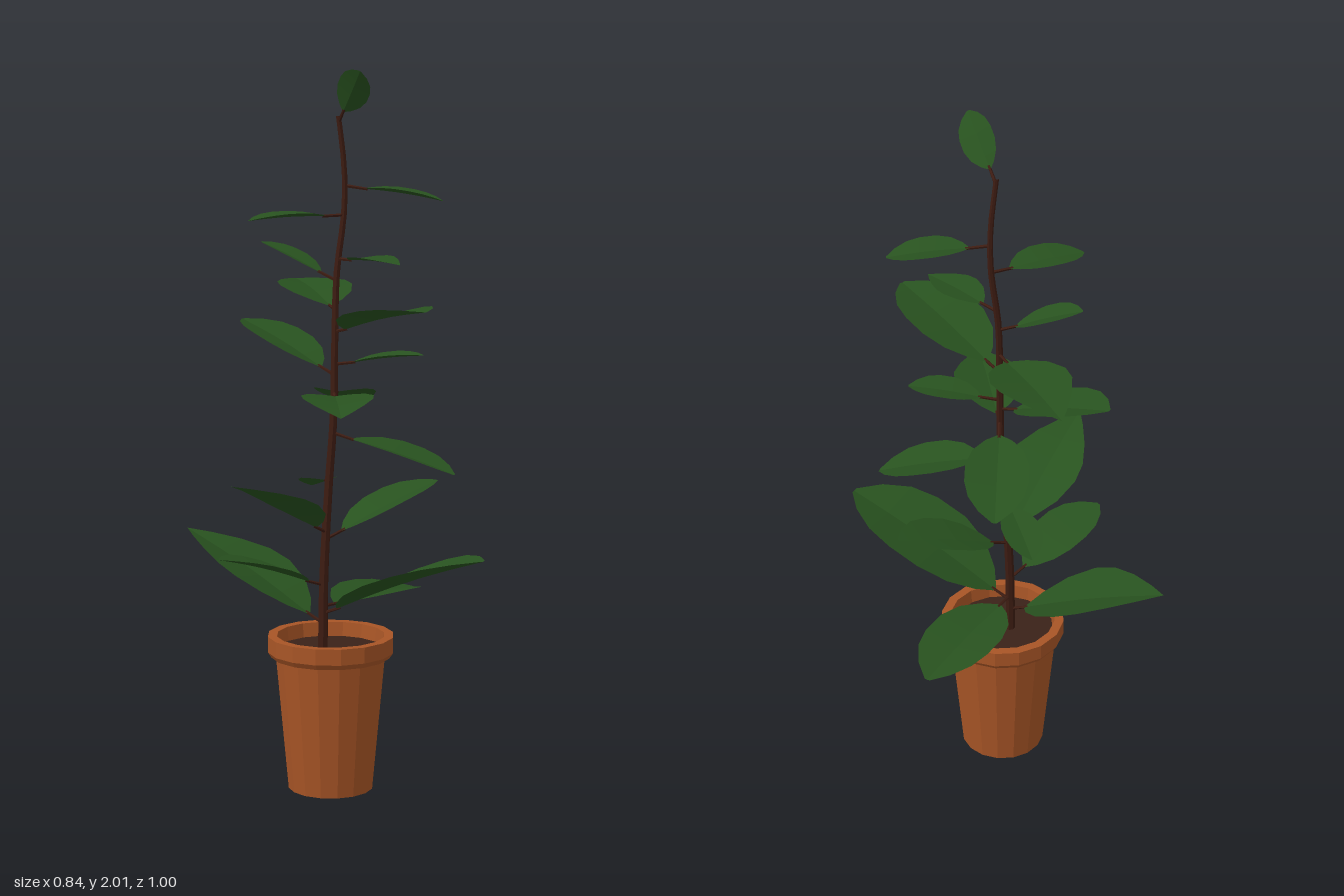
import * as THREE from 'three';

const V = (x, y, z) => new THREE.Vector3(x, y, z);
const mat = (color, side = THREE.FrontSide) =>
  new THREE.MeshStandardMaterial({ color, side, flatShading: true });

const clay = mat(0xa85526);
const soilMat = mat(0x3a2218);
const bark = mat(0x3d1c12);
const green = mat(0x28521f, THREE.DoubleSide);

// Gently leaning trunk line
const stemCurve = new THREE.CatmullRomCurve3([
  V(-0.01, 0.38, -0.02), V(-0.005, 0.6, -0.02), V(0.01, 0.85, -0.015), V(0.02, 1.05, -0.005),
  V(0.03, 1.25, -0.008), V(0.045, 1.45, -0.012), V(0.063, 1.62, 0), V(0.063, 1.74, 0), V(0.05, 1.88, -0.01),
]);

// Point on the trunk at a given height
function stemAt(y) {
  let lo = 0, hi = 1;
  for (let i = 0; i < 24; i++) {
    const mid = (lo + hi) / 2;
    if (stemCurve.getPoint(mid).y < y) lo = mid; else hi = mid;
  }
  return stemCurve.getPoint(lo);
}

// Tube whose radius shrinks from r0 to r1
function taperedTube(curve, segments, r0, r1, sides) {
  const geo = new THREE.TubeGeometry(curve, segments, 1, sides);
  const pos = geo.attributes.position;
  for (let i = 0; i < pos.count; i++) {
    const t = Math.floor(i / (sides + 1)) / segments;
    const c = curve.getPointAt(t);
    const p = V().fromBufferAttribute(pos, i).sub(c).multiplyScalar(r0 + (r1 - r0) * t).add(c);
    pos.setXYZ(i, p.x, p.y, p.z);
  }
  return geo;
}

// Half-width along the blade: [position, share of the widest half]
const POINTED = [[0, 0.06], [0.08, 0.42], [0.22, 0.8], [0.4, 1], [0.55, 0.95], [0.72, 0.68], [0.88, 0.32], [1, 0]];
const ROUNDED = [[0, 0.06], [0.08, 0.42], [0.22, 0.8], [0.4, 1], [0.6, 1], [0.76, 0.86], [0.9, 0.52], [1, 0.08]];

// Blade lying along +z, creased along the midrib with raised edges
function bladeGeometry(length, width, outline) {
  const pos = [], idx = [];
  outline.forEach(([t, w], i) => {
    const half = w * width / 2;
    const arch = Math.sin(Math.PI * t) * 0.02 * length;
    pos.push(-half, arch + half * 0.2, t * length, 0, arch, t * length, half, arch + half * 0.2, t * length);
    if (i === 0) return;
    const a = (i - 1) * 3, b = i * 3;
    for (const k of [0, 1]) idx.push(a + k, b + k, a + k + 1, a + k + 1, b + k, b + k + 1);
  });
  const geo = new THREE.BufferGeometry();
  geo.setAttribute('position', new THREE.Float32BufferAttribute(pos, 3));
  geo.setIndex(idx);
  geo.computeVertexNormals();
  return geo;
}

// Leaf with its stalk, from the trunk at height y to the tip
function makeLeaf(y, tip, outline, up = V(0, 1, 0)) {
  const base = stemAt(y);
  const dir = tip.clone().sub(base);
  const total = dir.length();
  dir.normalize();
  const stalk = Math.min(0.055, total * 0.2);
  const start = base.clone().addScaledVector(dir, stalk);

  const leaf = new THREE.Group();
  leaf.name = 'leaf';
  const petiole = new THREE.Mesh(
    taperedTube(new THREE.LineCurve3(base, start.clone().addScaledVector(dir, 0.01)), 1, 0.005, 0.004, 5), bark);
  petiole.name = 'leafStalk';

  const length = total - stalk;
  const blade = new THREE.Mesh(bladeGeometry(length, length * 0.55, outline), green);
  blade.name = 'leafBlade';
  const side = up.clone().cross(dir).normalize();
  const normal = dir.clone().cross(side);
  blade.quaternion.setFromRotationMatrix(new THREE.Matrix4().makeBasis(side, normal, dir));
  blade.position.copy(start);
  leaf.add(petiole, blade);
  return leaf;
}

// Height on the trunk, tip x, y, z, outline
const LEAVES = [
  [0.47, -0.02, 0.69, -0.5, POINTED],
  [0.5, 0, 0.71, 0.5, ROUNDED],
  [0.52, 0.42, 0.5, 0, ROUNDED],
  [0.58, -0.32, 0.69, -0.14, ROUNDED],
  [0.71, 0.31, 0.85, 0.15, ROUNDED],
  [0.73, -0.42, 0.92, -0.02, POINTED],
  [0.88, 0.17, 0.82, -0.19, ROUNDED],
  [1.01, 0.12, 0.91, 0.33, ROUNDED],
  [1.13, 0.34, 1.04, -0.17, ROUNDED],
  [1.12, -0.3, 1.11, 0.25, POINTED],
  [1.2, 0.13, 1.23, 0.22, ROUNDED],
  [1.17, 0.07, 1.3, -0.36, ROUNDED],
  [1.29, -0.12, 1.38, 0.39, ROUNDED],
  [1.35, 0.31, 1.4, -0.35, POINTED],
  [1.43, 0, 1.53, -0.24, ROUNDED],
  [1.49, -0.03, 1.49, 0.25, POINTED],
  [1.61, -0.17, 1.6, -0.15, ROUNDED],
  [1.69, 0.19, 1.65, 0.24, ROUNDED],
];

export function createModel() {
  const plant = new THREE.Group();
  plant.name = 'pottedPlant';

  // Pot: tapered body, overhanging rim, open top
  const profile = [
    [0, 0], [0.12, 0], [0.155, 0.38], [0.168, 0.38], [0.178, 0.395],
    [0.178, 0.44], [0.152, 0.44], [0.145, 0.38],
  ].map(([r, y]) => new THREE.Vector2(r, y));
  const pot = new THREE.Mesh(new THREE.LatheGeometry(profile, 16), clay);
  pot.name = 'pot';

  const soil = new THREE.Mesh(new THREE.CircleGeometry(0.15, 16), soilMat);
  soil.name = 'soil';
  soil.rotation.x = -Math.PI / 2;
  soil.position.y = 0.4;

  const stem = new THREE.Mesh(taperedTube(stemCurve, 28, 0.014, 0.007, 7), bark);
  stem.name = 'stem';
  plant.add(pot, soil, stem);

  // Leaves spiralling up the trunk
  for (const [y, x, ty, z, outline] of LEAVES) plant.add(makeLeaf(y, V(x, ty, z), outline));

  // Young leaf at the top, turned on edge
  const topLeaf = makeLeaf(1.865, V(-0.04, 2, 0.125), ROUNDED, V(0.82, 0.57, 0));
  topLeaf.name = 'topLeaf';
  plant.add(topLeaf);
  return plant;
}
